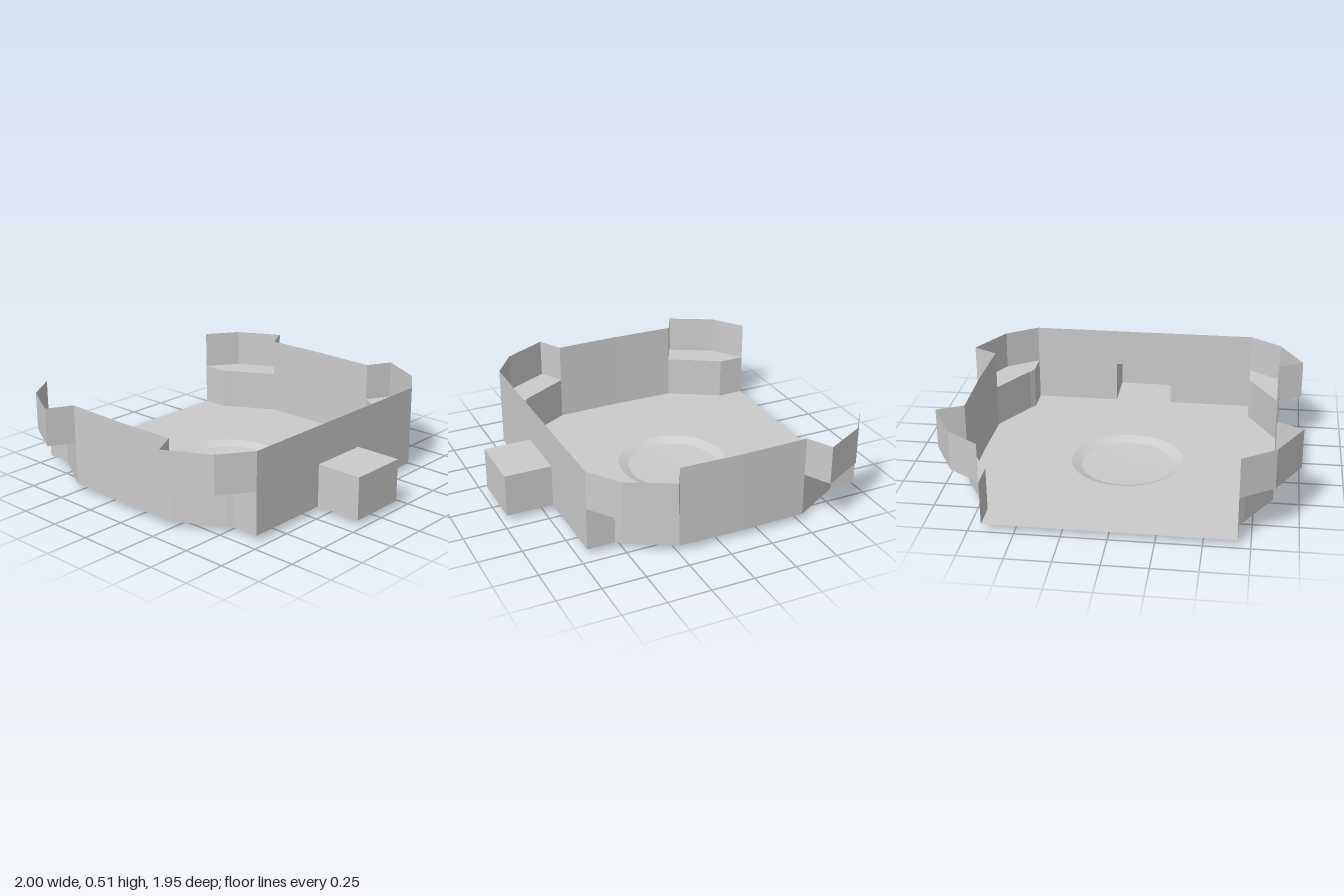
import * as THREE from 'three';

const FLOOR = 0.037, LEDGE = 0.287, TOP = 0.512;
const MID_Z = -0.14;

const material = new THREE.MeshStandardMaterial({
  color: 0xcccccc, flatShading: true, side: THREE.DoubleSide,
});

function part(name, geometry) {
  const mesh = new THREE.Mesh(geometry, material);
  mesh.name = name;
  return mesh;
}

// Continues a left-side [x, z] path (back to front) around to the right side
const mirrored = (half) => [...half, ...half.map(([x, z]) => [-x, z]).reverse()];

// Thin upright wall following an open [x, z] path
function wall(path, y0, y1) {
  const pos = [];
  for (let i = 0; i < path.length - 1; i++) {
    const [ax, az] = path[i], [bx, bz] = path[i + 1];
    pos.push(ax, y0, az, ax, y1, az, bx, y1, bz);
    pos.push(ax, y0, az, bx, y1, bz, bx, y0, bz);
  }
  const g = new THREE.BufferGeometry();
  g.setAttribute('position', new THREE.Float32BufferAttribute(pos, 3));
  g.computeVertexNormals();
  return g;
}

// Flat horizontal sheet with an [x, z] outline
function sheet(outline, y, hole) {
  const shape = new THREE.Shape(outline.map(([x, z]) => new THREE.Vector2(x, z)));
  if (hole) shape.holes.push(hole);
  return new THREE.ShapeGeometry(shape, 16).rotateX(Math.PI / 2).translate(0, y, 0);
}

export function createModel() {
  const model = new THREE.Group();
  model.name = 'tray';

  // Lower outline, running around the front spout as well
  const lower = mirrored([
    [0.68, -0.978], [0.68, -0.82], [0.705, -0.785], [0.855, -0.523], [0.863, MID_Z],
    [0.855, 0.24], [0.705, 0.505], [0.68, 0.537], [0.68, 0.698],
    [0.175, 0.698], [0.175, 0.972],
  ]);
  // Upper outline, flaring out at the four corners
  const upper = mirrored([
    [0.68, -0.978], [0.862, -0.852], [0.998, -0.598], [0.855, -0.523], [0.863, MID_Z],
    [0.855, 0.24], [0.998, 0.316], [0.862, 0.572], [0.68, 0.698],
  ]);

  model.add(part('lowerWall', wall(lower, FLOOR, LEDGE)));
  model.add(part('upperWall', wall(upper, LEDGE, TOP)));

  // Floor with a round opening for the dish
  const opening = new THREE.Path().absarc(0, MID_Z, 0.327, 0, Math.PI * 2, true);
  model.add(part('floor', sheet(lower, FLOOR, opening)));

  // Shallow dish bulging below the floor
  const dish = [[0, 0.003], [0.268, 0.012], [0.327, FLOOR]].map(([r, y]) => new THREE.Vector2(r, y));
  model.add(part('dish', new THREE.LatheGeometry(dish, 32).translate(0, 0, MID_Z)));

  // Ledges joining the lower and upper walls at each corner
  const backLedge = [
    [0.68, -0.978], [0.862, -0.852], [0.998, -0.598], [0.855, -0.523], [0.705, -0.785], [0.68, -0.82],
  ];
  for (const [side, s] of [['left', 1], ['right', -1]]) {
    const back = backLedge.map(([x, z]) => [s * x, z]);
    const front = back.map(([x, z]) => [x, 2 * MID_Z - z]);
    model.add(part(side + 'BackLedge', sheet(back, LEDGE)));
    model.add(part(side + 'FrontLedge', sheet(front, LEDGE)));
  }

  // Roof of the front spout
  const spout = [[0.175, 0.698], [0.175, 0.972], [-0.175, 0.972], [-0.175, 0.698]];
  model.add(part('spoutTop', sheet(spout, LEDGE)));

  return model;
}
